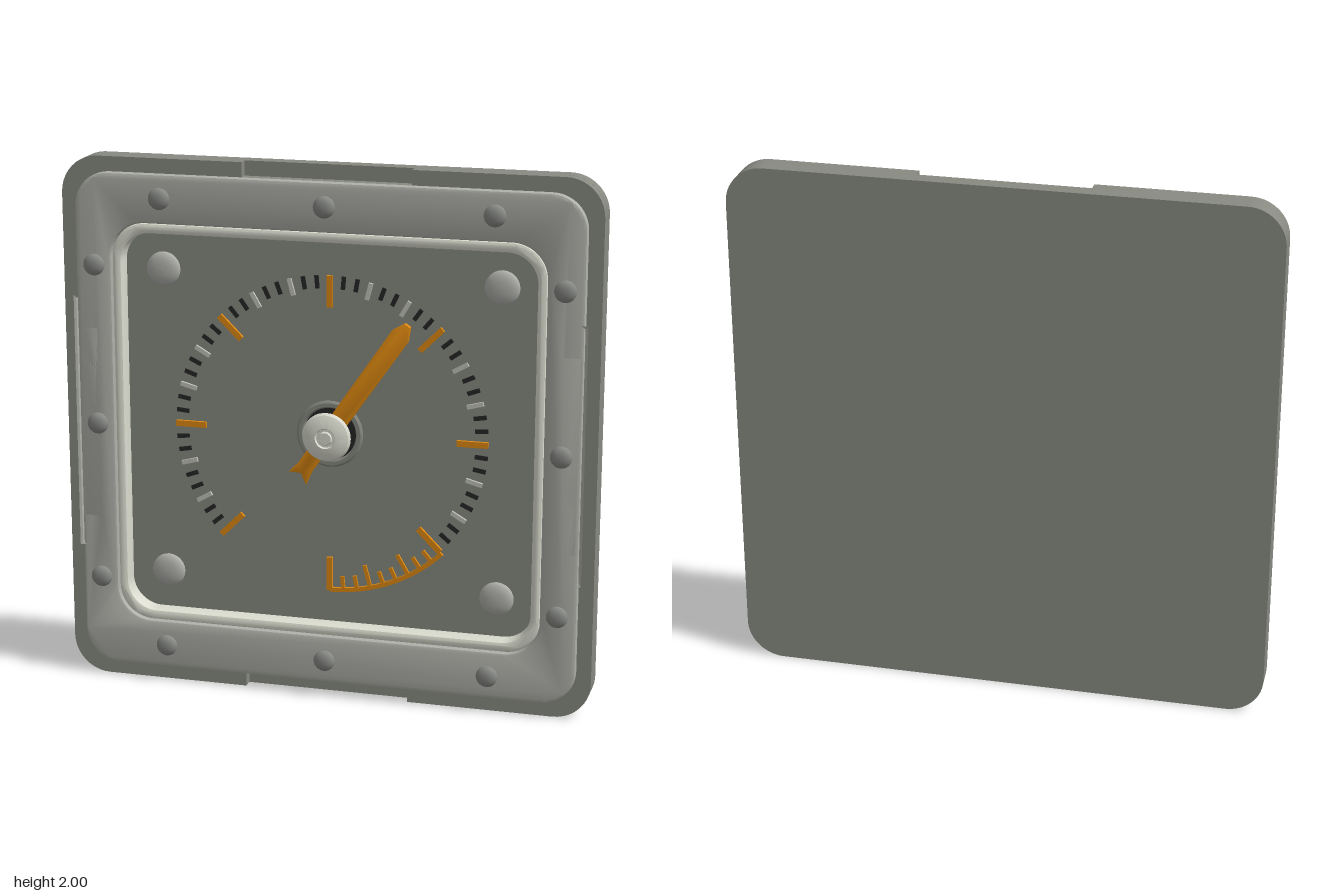
import * as THREE from 'three';
import { toCreasedNormals } from 'three/addons/utils/BufferGeometryUtils.js';

const CY = 1; // height of the dial centre
const FACE = -0.035; // z of the recessed dial face

const paint = (color) => new THREE.MeshStandardMaterial({ color });
const MAT = {
  body: paint(0x888a82), bezel: paint(0xb0b1aa), rim: paint(0xdcddd0), stud: paint(0x888a86),
  bolt: paint(0xb0b0ac), orange: paint(0xe08a10), black: paint(0x262626), light: paint(0xc4c4bc),
};

// Rounded rectangle centred on the origin; w and h are half sizes.
function roundRect(w, h, r, Type = THREE.Shape) {
  const s = new Type();
  s.absarc(w - r, h - r, r, 0, Math.PI / 2);
  s.absarc(-w + r, h - r, r, Math.PI / 2, Math.PI);
  s.absarc(-w + r, -h + r, r, Math.PI, Math.PI * 1.5);
  s.absarc(w - r, -h + r, r, Math.PI * 1.5, Math.PI * 2);
  s.closePath();
  return s;
}

// Rounded square with steps cut into its top and bottom, or (turned) its sides.
// Each cut is [from, to] along the edge, mirrored to the opposite edge.
function notched(half, r, depth, cuts, sideways) {
  const pts = [];
  const corner = (cx, cy, a0) => {
    for (let i = 0; i <= 10; i++) {
      const a = a0 + (i / 10) * Math.PI / 2;
      pts.push([cx + r * Math.cos(a), cy + r * Math.sin(a)]);
    }
  };
  const k = half - r;
  for (const s of [1, -1]) {
    corner(s * k, s * k, s > 0 ? 0 : Math.PI);
    for (const [a, b] of cuts) {
      pts.push([s * b, s * half], [s * b, s * (half - depth)], [s * a, s * (half - depth)], [s * a, s * half]);
    }
    corner(-s * k, s * k, s > 0 ? Math.PI / 2 : Math.PI * 1.5);
  }
  return new THREE.Shape(pts.map(([x, y]) => sideways ? new THREE.Vector2(-y, x) : new THREE.Vector2(x, y)));
}

function extrude(shape, z0, z1, bevel = 0) {
  const g = new THREE.ExtrudeGeometry(shape, {
    depth: z1 - z0 - 2 * bevel, curveSegments: 12, bevelEnabled: bevel > 0,
    bevelSize: bevel, bevelThickness: bevel, bevelOffset: -bevel, bevelSegments: 2,
  });
  g.translate(0, 0, z0 + bevel);
  return toCreasedNormals(g, 0.5);
}

export function createModel() {
  const root = new THREE.Group();
  const dial = new THREE.Group();
  dial.position.y = CY;
  dial.name = 'gauge';
  root.add(dial);

  const add = (name, geo, mat, parent = dial) => {
    const m = new THREE.Mesh(geo, mat);
    m.name = name;
    parent.add(m);
    return m;
  };
  const opening = (w) => roundRect(w, w - 0.045, 0.13, THREE.Path);

  // Housing: back plate, frame, and front frame with top and bottom cut-outs
  add('backPlate', extrude(roundRect(1, 1, 0.14), -0.075, FACE), MAT.body);
  const frame = roundRect(1, 1, 0.14);
  frame.holes.push(opening(0.8));
  add('frame', extrude(frame, FACE, -0.015), MAT.body);
  const frontFrame = notched(1, 0.14, 0.055, [[-0.313, 0.313]], false);
  frontFrame.holes.push(opening(0.8));
  add('frontFrame', extrude(frontFrame, -0.015, 0.025), MAT.body);

  // Raised bezel with notches on its left and right edges
  const bezel = notched(0.945, 0.13, 0.065, [[-0.47, -0.375], [0.375, 0.47]], true);
  bezel.holes.push(opening(0.808));
  add('bezel', extrude(bezel, 0.005, 0.05, 0.012), MAT.bezel);

  // Pale lip around the window
  const rim = roundRect(0.808, 0.763, 0.13);
  rim.holes.push(roundRect(0.772, 0.724, 0.11, THREE.Path));
  add('windowRim', extrude(rim, FACE, 0.04, 0.012), MAT.rim);

  // Domed fasteners
  const dome = (r, h) => {
    const pts = [[r, -0.002], [r, h * 0.25], [r * 0.88, h * 0.6], [r * 0.62, h * 0.87], [r * 0.3, h * 0.98], [0, h]];
    return new THREE.LatheGeometry(pts.map((p) => new THREE.Vector2(...p)), 24).rotateX(Math.PI / 2);
  };
  const stud = dome(0.04, 0.025);
  const bolt = dome(0.064, 0.025);
  for (const s of [-1, 1]) {
    for (const t of [-1, 0, 1]) {
      add('bezelStud', stud, MAT.stud).position.set(t * 0.618, s * 0.857, 0.05);
      add('bezelStud', stud, MAT.stud).position.set(s * 0.873, t * 0.602, 0.05);
    }
    for (const t of [-1, 1]) add('faceBolt', bolt, MAT.bolt).position.set(s * 0.633, t * 0.583, FACE);
  }

  // Scale marks
  const scale = new THREE.Group();
  scale.name = 'scale';
  dial.add(scale);
  const tick = (name, deg, r0, r1, width, height, mat) => {
    const a = THREE.MathUtils.degToRad(deg);
    const r = (r0 + r1) / 2;
    const m = add(name, new THREE.BoxGeometry(r1 - r0, width, height), mat, scale);
    m.position.set(r * Math.cos(a), r * Math.sin(a), FACE + height / 2);
    m.rotation.z = a;
  };
  for (let d = -45; d <= 225; d += 5) {
    if ((d + 45) % 45 === 0) tick('majorTick', d, 0.476, 0.593, 0.022, 0.012, MAT.orange);
    else if ((d + 45) % 15 === 0) tick('middleTick', d, 0.53, 0.593, 0.016, 0.01, MAT.light);
    else tick('minorTick', d, 0.545, 0.593, 0.016, 0.004, MAT.black);
  }
  // Warning zone: curved band with its own marks
  tick('zoneEndTick', -90, 0.476, 0.605, 0.022, 0.012, MAT.orange);
  for (let d = -85; d < -45; d += 5) {
    tick('zoneTick', d, d % 15 === 0 ? 0.515 : 0.55, 0.6, 0.014, 0.01, MAT.orange);
  }
  const band = new THREE.Shape();
  band.absarc(0, 0, 0.61, -Math.PI / 2, -Math.PI / 4, false);
  band.absarc(0, 0, 0.594, -Math.PI / 4, -Math.PI / 2, true);
  add('zoneBand', extrude(band, FACE, FACE + 0.012), MAT.orange);

  // Collar and spindle
  const lathe = (pts) => toCreasedNormals(
    new THREE.LatheGeometry(pts.map((p) => new THREE.Vector2(...p)), 40).rotateX(Math.PI / 2), 0.6);
  add('collar', lathe([[0.125, FACE], [0.125, -0.027], [0.118, -0.022], [0.104, -0.022], [0.098, FACE + 0.002]]), MAT.body);
  add('collarFloor', new THREE.CircleGeometry(0.1, 40).translate(0, 0, FACE + 0.002), MAT.black);
  add('spindle', lathe([[0.055, FACE], [0.055, 0.006], [0.085, 0.008], [0.092, 0.018], [0.085, 0.03], [0.062, 0.04],
    [0.038, 0.043], [0.034, 0.036], [0.026, 0.036], [0.022, 0.043], [0, 0.043]]), MAT.rim);

  // Pointer with an arrow tip and a notched tail
  const pointer = new THREE.Shape([
    [0.525, 0.012], [0.475, 0.036], [0, 0.034], [-0.15, 0.03], [-0.205, 0.04], [-0.18, 0],
    [-0.205, -0.04], [-0.15, -0.03], [0, -0.034], [0.475, -0.036], [0.525, -0.012],
  ].map((p) => new THREE.Vector2(...p)));
  add('pointer', extrude(pointer, -0.016, 0.006, 0.004), MAT.orange).rotation.z = THREE.MathUtils.degToRad(55.5);

  return root;
}
